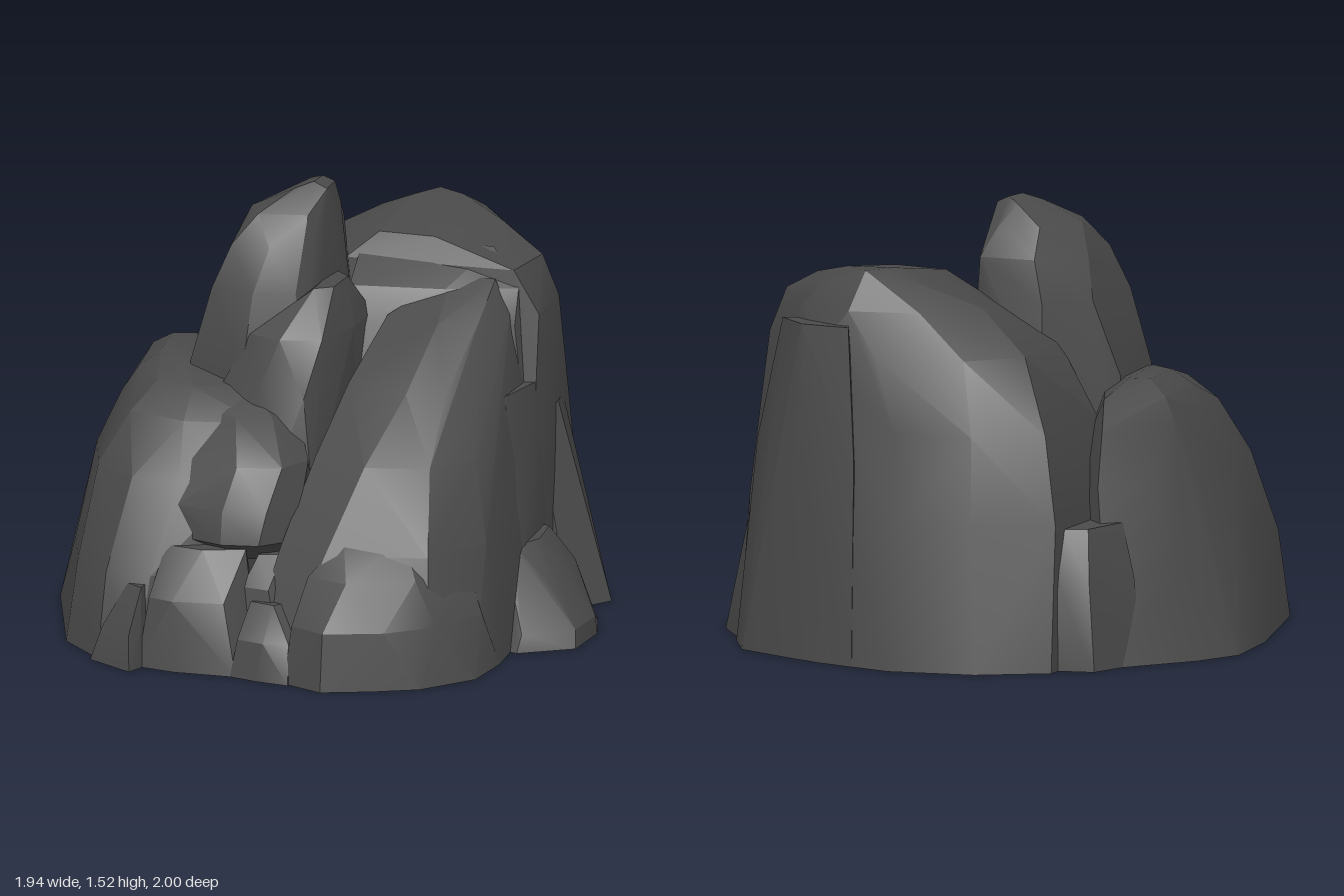
import * as THREE from 'three';
import { toCreasedNormals } from 'three/addons/utils/BufferGeometryUtils.js';
import { ConvexGeometry } from 'three/addons/geometries/ConvexGeometry.js';

const stone = new THREE.MeshStandardMaterial({ color: 0x4a4a4a });
stone.name = 'dark stone';

// A boulder is the hull of a few level rings: [y, x, z, x, z, ...]
function boulder(name, ...rings) {
  const points = [];
  for (const [y, ...xz] of rings) {
    for (let i = 0; i < xz.length; i += 2) points.push(new THREE.Vector3(xz[i], y, xz[i + 1]));
  }
  const mesh = new THREE.Mesh(toCreasedNormals(new ConvexGeometry(points), 0.4), stone);
  mesh.name = name;
  return mesh;
}

export function createModel() {
  const group = new THREE.Group();
  group.name = 'rockFormation';
  group.add(
    // Solid core that closes the underside
    boulder('core',
      [0, -0.9, -0.2, -0.7, 0.55, -0.4, 0.82, 0.1, 0.88, 0.6, 0.7, 0.72, 0, 0.5, -0.75, -0.5, -0.75],
      [0.25, -0.6, 0, -0.3, 0.55, 0.2, 0.6, 0.5, 0, 0.3, -0.6, -0.4, -0.5]),

    // Tall block, its top sloping forward and rounding off to the right
    boulder('backBlock',
      [0, -0.57, -0.78, -0.35, -0.93, -0.05, -1, 0.25, -0.95, 0.6, -0.82, 0.72, -0.62, 0.74, -0.2, 0.7, 0, -0.55, -0.1],
      [0.5, -0.55, -0.71, -0.3, -0.86, -0.05, -0.91, 0.25, -0.89, 0.52, -0.78, 0.71, -0.56, 0.73, -0.2, -0.53, -0.3],
      [0.8, -0.48, -0.65, -0.27, -0.8, 0, -0.85, 0.3, -0.84, 0.5, -0.74, 0.7, -0.5, 0.71, -0.2, -0.45, -0.2],
      [1.05, -0.35, -0.55, -0.2, -0.72, 0.1, -0.8, 0.33, -0.8, 0.5, -0.7, 0.69, -0.45, 0.69, -0.2, -0.3, -0.2],
      [1.2, -0.16, -0.5, -0.02, -0.7, 0.22, -0.77, 0.44, -0.69, 0.64, -0.42, 0.6, -0.2, 0, -0.2],
      [1.28, 0.02, -0.6, 0.3, -0.26, 0.1, -0.27, 0.48, -0.5, 0.36, -0.68],
      [1.33, 0.14, -0.58, 0.2, -0.68, 0.3, -0.62]),
    boulder('backSlab',
      [0, 0.1, -0.98, 0.35, -0.92, 0.6, -0.83, 0.7, -0.68, 0.2, -0.6],
      [0.7, 0.14, -0.885, 0.36, -0.87, 0.52, -0.78, 0.66, -0.6],
      [1.15, 0.2, -0.81, 0.38, -0.81, 0.5, -0.72, 0.3, -0.6]),
    boulder('blockApron',
      [0.55, -0.05, 0.12, 0.5, 0.05, 0.68, -0.1, 0, -0.4, 0.6, -0.4],
      [1.02, 0.08, 0, 0.36, -0.04, 0.62, -0.14],
      [1.14, 0.05, -0.07, 0.38, -0.11, 0.62, -0.19],
      [1.25, 0.04, -0.28, 0.5, -0.3]),

    // Spire and the shelf leaning on its front
    boulder('spire',
      [0.6, -0.48, -0.1, -0.45, 0.25, -0.2, 0.34, 0, 0.3, 0.06, -0.2, -0.3, -0.32],
      [0.92, -0.46, -0.05, -0.43, 0.24, -0.22, 0.33, 0, 0.25, 0.05, -0.15, -0.25, -0.29],
      [1.18, -0.38, -0.1, -0.36, 0.22, -0.2, 0.27, -0.06, 0.22, 0.03, -0.08, -0.02, -0.25, -0.26, -0.25],
      [1.33, -0.33, -0.04, -0.3, 0.18, -0.16, 0.2, -0.03, 0.12, 0.02, -0.1, -0.02, -0.25, -0.22, -0.23],
      [1.43, -0.27, 0.03, -0.22, 0.13, -0.05, 0.1, 0.01, -0.1, -0.06, -0.19, -0.2, -0.15],
      [1.5, -0.12, 0.02, -0.01, 0, -0.01, -0.1, -0.1, -0.12],
      [1.52, -0.06, -0.01, -0.05, -0.09]),
    boulder('spireShelf',
      [0.5, -0.36, 0.42, -0.1, 0.48, 0.06, 0.42, 0.1, 0],
      [0.86, -0.3, 0.32, -0.15, 0.39, 0.02, 0.4, 0.08, 0.26, 0.1, -0.05],
      [1.05, -0.2, 0.3, -0.08, 0.35, 0.06, 0.31, 0.12, 0.12, 0.13, -0.08],
      [1.2, 0, 0.2, 0.06, 0.16, 0.07, 0.02, 0, -0.05]),

    // Rounded lobe and its overhanging nose
    boulder('rightLobe',
      [0, -0.97, -0.15, -0.9, -0.32, -0.7, -0.6, -0.93, 0.12, -0.83, 0.35, -0.76, 0.64, -0.6, 0.81, -0.45, 0.84, -0.25, 0.7, 0, 0],
      [0.3, -0.87, -0.15, -0.82, -0.3, -0.67, -0.48, -0.86, 0.1, -0.8, 0.38, -0.72, 0.63, -0.58, 0.77, -0.42, 0.78, -0.25, 0.7],
      [0.6, -0.78, -0.1, -0.71, -0.3, -0.58, -0.45, -0.77, 0.22, -0.69, 0.48, -0.53, 0.62, -0.36, 0.63, -0.15, 0.6],
      [0.78, -0.71, -0.12, -0.56, -0.38, -0.69, 0.18, -0.59, 0.43, -0.38, 0.5, -0.12, 0.46],
      [0.87, -0.66, -0.1, -0.63, 0.17, -0.52, 0.34, -0.38, 0.38, -0.5, -0.25, -0.22, 0.32],
      [0.92, -0.58, -0.06, -0.51, -0.08, -0.56, 0.15, -0.46, 0.2]),
    boulder('overhang',
      [0.34, -0.14, 0.62, -0.03, 0.6, -0.05, 0.3],
      [0.42, -0.34, 0.68, -0.18, 0.74, -0.05, 0.72, 0.05, 0.62, 0.05, 0.35],
      [0.53, -0.36, 0.66, -0.18, 0.72, -0.03, 0.69, 0.06, 0.58],
      [0.67, -0.34, 0.57, -0.15, 0.64, 0, 0.6, 0.06, 0.48],
      [0.8, -0.38, 0.4, -0.2, 0.48, -0.08, 0.44, -0.05, 0.25],
      [0.86, -0.35, 0.3, -0.2, 0.32]),

    // Broad sloping ridge with a steep outer face, and the toe at its foot
    boulder('ridge',
      [0, -0.08, 0.84, 0.05, 0.9, 0.72, 0.35, 0.75, 0.5, 0.71, 0.68, 0.58, 0.8, 0.73, -0.1, -0.1, 0],
      [0.42, 0.02, 0.68, 0.2, 0.76, 0.55, 0.7, 0.69, 0.46, 0.72, -0.1],
      [0.68, 0.08, 0.46, 0.28, 0.55, 0.5, 0.5, 0.62, 0.34, 0.68, -0.1],
      [0.88, 0.13, 0.22, 0.36, 0.31, 0.49, 0.26, 0.58, 0.12, 0.64, -0.15],
      [1.06, 0.2, -0.02, 0.4, 0.06, 0.53, 0, 0.6, -0.15],
      [1.17, 0.38, -0.2, 0.54, -0.18]),
    boulder('toe',
      [0, 0.1, 0.93, 0.25, 1, 0.42, 0.94, 0.57, 0.87, 0.72, 0.7, 0.75, 0.5, 0.15, 0.5],
      [0.2, 0.12, 0.9, 0.25, 0.97, 0.45, 0.9, 0.6, 0.78, 0.71, 0.58],
      [0.35, 0.15, 0.8, 0.3, 0.85, 0.52, 0.75, 0.65, 0.55],
      [0.47, 0.25, 0.7, 0.45, 0.65, 0.35, 0.5]),
    boulder('outerFlank',
      [0, 0.6, -0.2, 0.74, -0.18, 0.75, 0.2, 0.6, 0.4],
      [0.47, 0.6, -0.2, 0.72, -0.16, 0.72, 0.06, 0.69, 0.15, 0.6, 0.25],
      [0.82, 0.5, -0.2, 0.69, -0.16, 0.64, 0.04, 0.5, 0.1]),

    // Loose stones around the foot
    boulder('sideStoneFront',
      [0, 0.62, -0.18, 0.86, -0.18, 0.93, -0.1, 0.97, 0.05, 0.95, 0.25, 0.77, 0.36, 0.62, 0.3],
      [0.06, 0.96, 0.04, 0.94, 0.22, 0.78, 0.33],
      [0.2, 0.83, -0.16, 0.86, 0.02, 0.83, 0.16, 0.72, 0.24],
      [0.32, 0.65, -0.17, 0.75, -0.12, 0.76, 0.04, 0.7, 0.15]),
    boulder('sideStoneBack',
      [0, 0.6, -0.2, 0.8, -0.2, 0.91, -0.34, 0.85, -0.47, 0.74, -0.6, 0.6, -0.65],
      [0.14, 0.78, -0.22, 0.84, -0.35, 0.8, -0.47, 0.72, -0.6],
      [0.28, 0.7, -0.24, 0.77, -0.36, 0.75, -0.47, 0.69, -0.6],
      [0.52, 0.68, -0.25, 0.74, -0.34, 0.73, -0.46, 0.66, -0.56],
      [0.7, 0.66, -0.26, 0.72, -0.34, 0.7, -0.46]),
    boulder('backCornerStone',
      [0, -0.55, -0.73, -0.69, -0.69, -0.76, -0.46, -0.5, -0.4],
      [0.3, -0.56, -0.71, -0.66, -0.67, -0.72, -0.45],
      [0.48, -0.54, -0.64, -0.62, -0.6, -0.66, -0.42, -0.5, -0.4]),
    boulder('frontCornerStone',
      [0, -0.62, 0.83, -0.45, 0.94, -0.42, 0.87, -0.4, 0.7, -0.6, 0.7],
      [0.12, -0.58, 0.82, -0.46, 0.91, -0.43, 0.86],
      [0.27, -0.5, 0.78, -0.44, 0.82, -0.43, 0.7]),
    boulder('frontStoneLarge',
      [0, -0.44, 0.87, -0.3, 0.9, -0.08, 0.9, -0.06, 0.6, -0.42, 0.6],
      [0.24, -0.41, 0.83, -0.32, 0.86, -0.14, 0.84, -0.07, 0.74],
      [0.4, -0.38, 0.72, -0.24, 0.75, -0.1, 0.7, -0.2, 0.55]),
    boulder('frontStoneSmall',
      [0, -0.1, 0.9, 0, 0.93, 0.12, 0.95, 0.14, 0.7, -0.1, 0.7],
      [0.13, -0.08, 0.88, 0.02, 0.91, 0.11, 0.9],
      [0.24, -0.06, 0.78, 0.03, 0.81, 0.1, 0.7]),
    boulder('gullyStone',
      [0.05, -0.12, 0.8, 0.06, 0.82, 0.1, 0.6, -0.1, 0.5],
      [0.28, -0.1, 0.75, 0, 0.77, 0.08, 0.68],
      [0.38, -0.06, 0.68, 0.02, 0.66, 0, 0.5])
  );
  return group;
}
